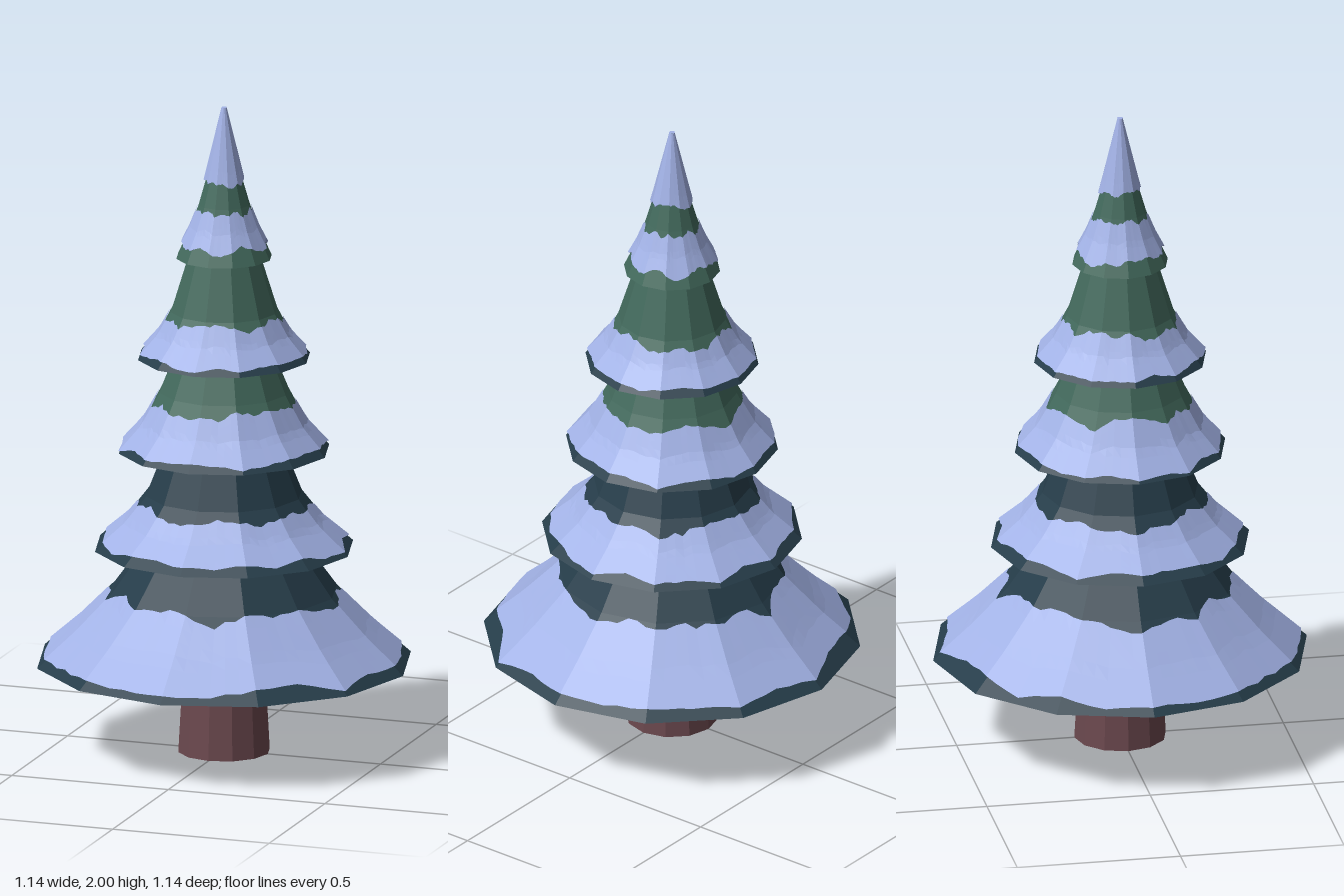
import * as THREE from 'three';

const SIDES = 12;
const SEGS = 72; // multiple of SIDES, so the snow bends on the same ridges

const material = (name, color) => {
  const m = new THREE.MeshStandardMaterial({ color });
  m.name = name;
  return m;
};

// Small seeded generator for the ragged snow edges
function seeded(seed) {
  let s = seed * 7919 + 17;
  return () => {
    s = (s * 16807) % 2147483647;
    return s / 2147483647;
  };
}

function flat(geometry) {
  const g = geometry.index ? geometry.toNonIndexed() : geometry;
  g.computeVertexNormals();
  return g;
}

// Radius of a profile [[r, y], ...] at height y
function radiusAt(profile, y) {
  for (let i = 1; i < profile.length; i++) {
    const [r0, y0] = profile[i - 1];
    const [r1, y1] = profile[i];
    if (y <= y1) return r0 + ((r1 - r0) * (y - y0)) / (y1 - y0);
  }
  return profile[profile.length - 1][0];
}

// Ring of heights: broad waves with a fine ragged edge
function raggedEdge(mean, amp, fine, rand) {
  const waves = Array.from({ length: 24 }, () => (rand() * 2 - 1) * amp);
  return Array.from({ length: SEGS }, (_, i) => {
    const k = Math.floor(i / 3);
    const f = (i % 3) / 3;
    const wave = waves[k] * (1 - f) + waves[(k + 1) % 24] * f;
    return mean + wave + (rand() * 2 - 1) * fine;
  });
}

// Thin shell hugging a twelve-sided profile between two rings of heights
function snowShell(profile, low, high, thick) {
  const rows = 7;
  const wedge = (Math.PI * 2) / SIDES;
  const pos = [];
  const idx = [];
  for (let i = 0; i <= SEGS; i++) {
    const a = (i / SEGS) * Math.PI * 2;
    const k = i % SEGS;
    const local = (k % (SEGS / SIDES)) / (SEGS / SIDES) * wedge - wedge / 2;
    const facet = Math.cos(wedge / 2) / Math.cos(local);
    for (let j = -1; j < rows; j++) {
      const t = Math.max(j, 0) / (rows - 1);
      const y = low[k] + (high[k] - low[k]) * t;
      const off = j < 0 ? -0.005 : thick * (1 - t) + 0.003;
      const r = (radiusAt(profile, y) + off) * facet;
      pos.push(Math.sin(a) * r, y, Math.cos(a) * r);
    }
  }
  const n = rows + 1;
  for (let i = 0; i < SEGS; i++) {
    for (let j = 0; j < rows; j++) {
      const a = i * n + j;
      const b = a + n;
      idx.push(a, b, a + 1, b + 1, a + 1, b);
    }
  }
  const g = new THREE.BufferGeometry();
  g.setAttribute('position', new THREE.Float32BufferAttribute(pos, 3));
  g.setIndex(idx);
  return flat(g);
}

export function createModel() {
  const bark = material('bark', 0x6b484e);
  const darkNeedles = material('dark needles', 0x263d4a);
  const greenNeedles = material('green needles', 0x42695c);
  const snow = material('snow', 0xa2b2e6);

  const tree = new THREE.Group();
  tree.name = 'snowyTree';
  const add = (parent, name, geometry, mat) => {
    const mesh = new THREE.Mesh(geometry, mat);
    mesh.name = name;
    parent.add(mesh);
    return mesh;
  };
  const lathe = (points) =>
    flat(new THREE.LatheGeometry(points.map(([r, y]) => new THREE.Vector2(r, y)), SIDES));

  // Trunk
  const trunk = add(tree, 'trunk', flat(new THREE.CylinderGeometry(0.122, 0.14, 0.32, SIDES)), bark);
  trunk.position.y = 0.16;

  // Branch tiers from the bottom up; snow is [low, high, low wave, high wave]
  const tiers = [
    { profile: [[0.572, 0.28], [0.45, 0.39], [0.345, 0.5], [0.24, 0.645]],
      skirt: darkNeedles, top: darkNeedles, snow: [[0.312, 0.492, 0.016, 0.025]] },
    { profile: [[0.395, 0.635], [0.3, 0.72], [0.238, 0.8], [0.18, 0.945]],
      skirt: darkNeedles, top: darkNeedles, snow: [[0.658, 0.775, 0.011, 0.02]] },
    { profile: [[0.322, 0.937], [0.25, 1.02], [0.197, 1.12], [0.15, 1.235]],
      skirt: darkNeedles, top: greenNeedles, snow: [[0.957, 1.085, 0.01, 0.018]] },
    { profile: [[0.263, 1.225], [0.2, 1.3], [0.163, 1.37], [0.108, 1.545]],
      skirt: darkNeedles, top: greenNeedles, snow: [[1.244, 1.35, 0.009, 0.018]] },
    { profile: [[0.146, 1.535], [0.102, 1.63], [0.078, 1.7], [0.055, 1.78], [0.005, 2]],
      skirt: greenNeedles, top: greenNeedles,
      snow: [[1.578, 1.688, 0.018, 0.012], [1.772, 1.999, 0.01, 0]] },
  ];

  tiers.forEach(({ profile, skirt, top, snow: bands }, i) => {
    const tier = new THREE.Group();
    tier.name = 'branchTier' + (i + 1);
    tree.add(tier);

    // Needles: flat underside with the flared skirt, then the upper cone
    add(tier, 'skirt', lathe([[0, profile[0][1]], profile[0], profile[1]]), skirt);
    add(tier, 'upperNeedles', lathe(profile.slice(1)), top);

    // Snow bands with ragged edges
    bands.forEach(([low, high, lowWave, highWave], b) => {
      const rand = seeded(i * 5 + b + 3);
      const lower = raggedEdge(low, lowWave, lowWave * 0.2, rand);
      const upper = raggedEdge(high, highWave, highWave * 0.3, rand);
      const isCap = highWave === 0;
      add(tier, isCap ? 'snowCap' : 'snowBand',
        snowShell(profile, lower, upper, isCap ? 0.004 : 0.006), snow);
    });
  });

  // Rounded-off tip
  const tip = add(tree, 'snowTip', flat(new THREE.CircleGeometry(0.009, SIDES)), snow);
  tip.rotation.x = -Math.PI / 2;
  tip.position.y = 2;

  return tree;
}
